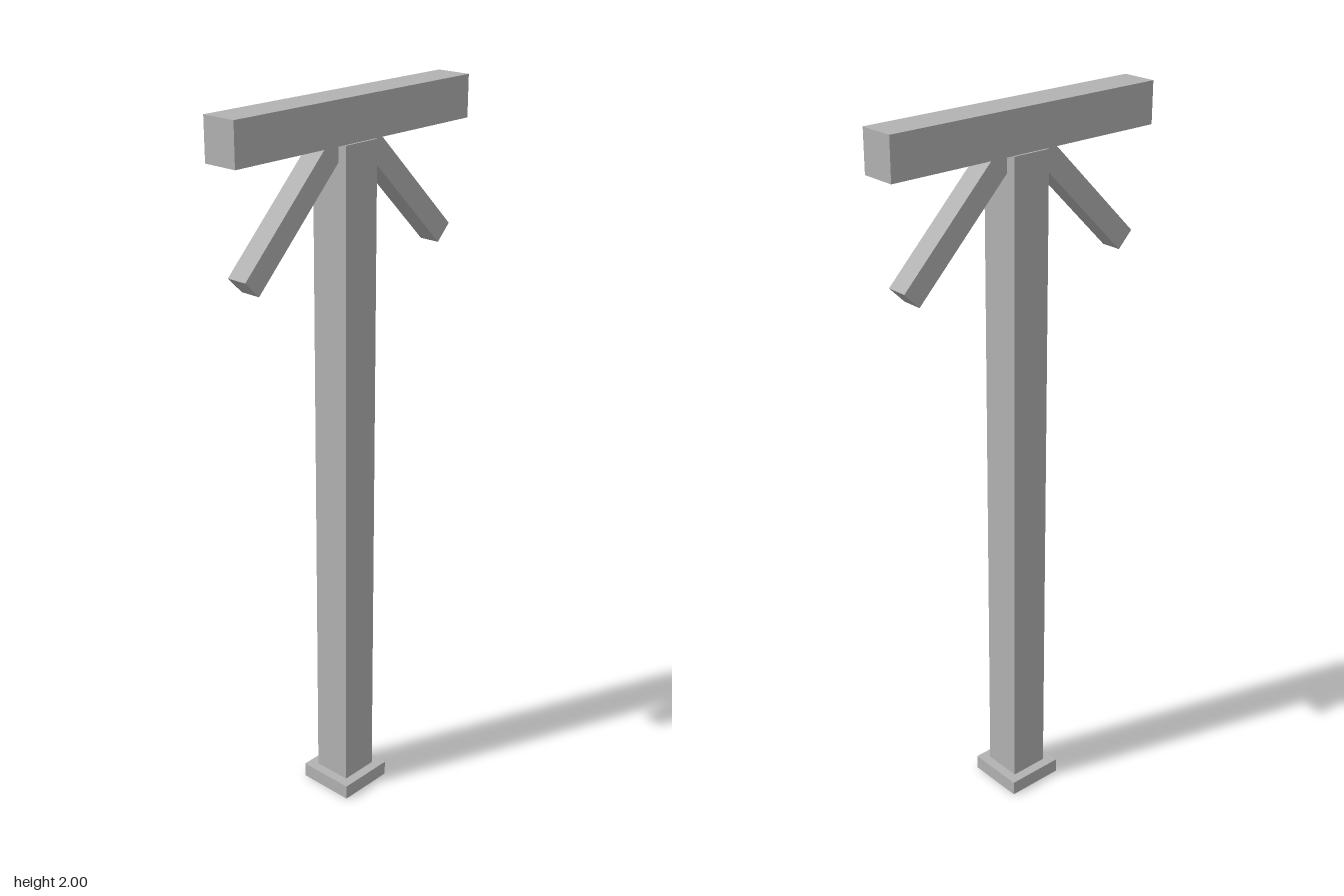
import * as THREE from 'three';

export function createModel() {
  const group = new THREE.Group();
  const grey = new THREE.MeshStandardMaterial({ color: 0xb2b2b2 });
  grey.name = 'plain grey';

  function addBox(name, w, h, d, x, y) {
    const mesh = new THREE.Mesh(new THREE.BoxGeometry(w, h, d), grey);
    mesh.name = name;
    mesh.position.set(x, y, 0);
    group.add(mesh);
    return mesh;
  }

  const beamBottom = 1.888;
  const baseTop = 0.042;

  // Foot plate, post and cross beam
  addBox('basePlate', 0.167, baseTop, 0.167, 0, baseTop / 2);
  addBox('post', 0.112, beamBottom - baseTop, 0.112, 0, (beamBottom + baseTop) / 2);
  addBox('crossBeam', 0.834, 2 - beamBottom, 0.1, 0, (2 + beamBottom) / 2);

  // Diagonal braces at 45 degrees, their upper ends let into the post and beam
  const inner = new THREE.Vector2(0.06, 1.883);
  const outer = new THREE.Vector2(0.355, 1.588);
  const length = inner.distanceTo(outer);
  for (const [name, side] of [['leftBrace', 1], ['rightBrace', -1]]) {
    const brace = addBox(name, length, 0.062, 0.06,
      side * (inner.x + outer.x) / 2, (inner.y + outer.y) / 2);
    brace.rotation.z = -side * Math.PI / 4;
  }

  return group;
}
